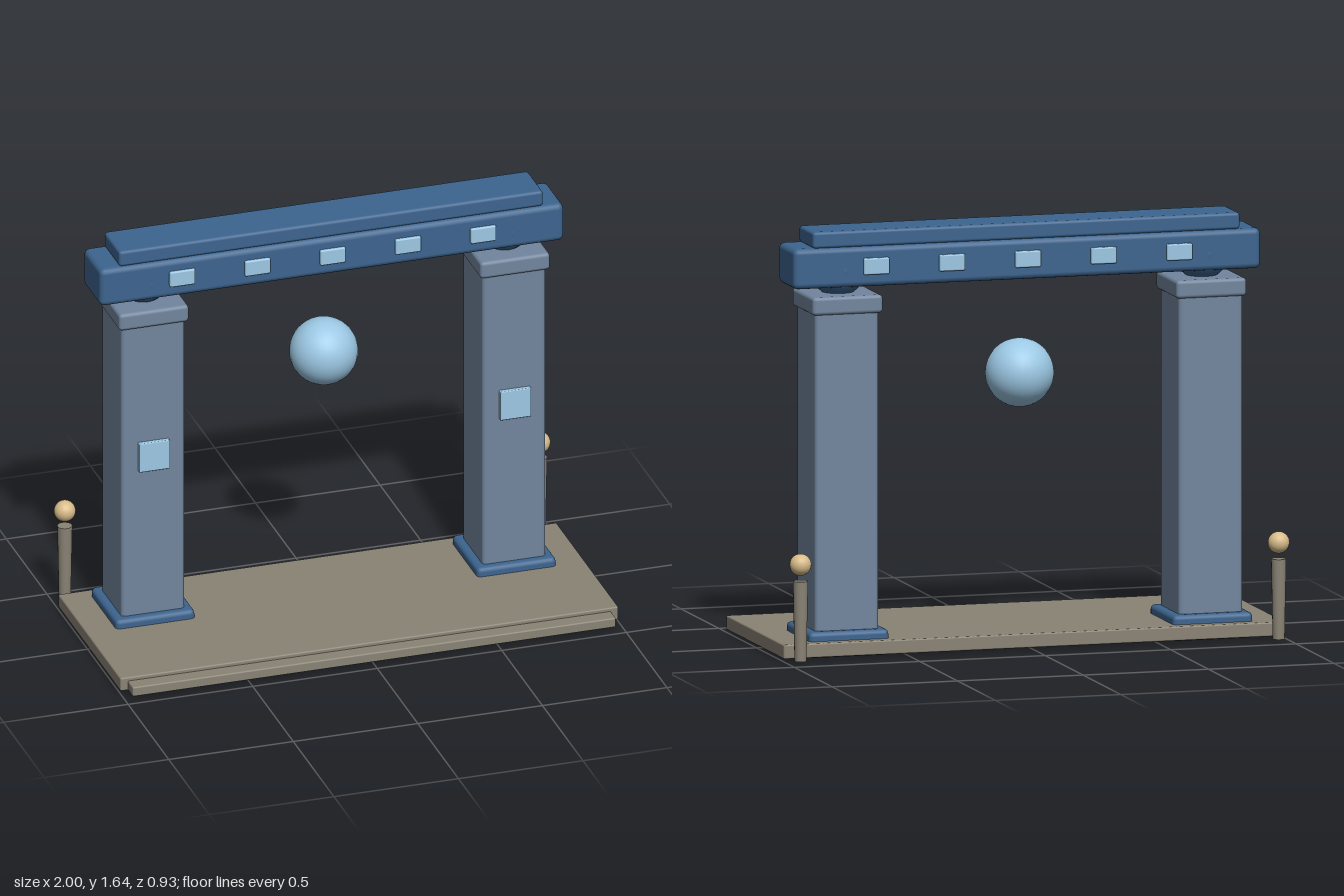
import * as THREE from 'three';
import { RoundedBoxGeometry } from 'three/addons/geometries/RoundedBoxGeometry.js';

const mat = (color) => new THREE.MeshStandardMaterial({ color });

export function createModel() {
  const group = new THREE.Group();
  const stone = mat(0x8a8375), slate = mat(0x72869e), blue = mat(0x3d658f);
  const glow = mat(0x9cc8e4), gold = mat(0xd8bc8a);
  const gateZ = -0.16;

  const add = (name, geometry, material, x, y, z) => {
    const mesh = new THREE.Mesh(geometry, material);
    mesh.name = name;
    mesh.position.set(x, y, z);
    group.add(mesh);
    return mesh;
  };
  // Soft-edged box given by its centre x and z and its bottom and top heights
  const block = (name, material, x, z, w, d, y0, y1, r) =>
    add(name, new RoundedBoxGeometry(w, y1 - y0, d, 2, r), material, x, (y0 + y1) / 2, z);

  // Floor slab with a lower front step
  block('platform', stone, 0, 0.022, 2, 0.766, 0.01, 0.065, 0.006);
  block('frontStep', stone, 0, 0.425, 1.94, 0.08, 0.01, 0.05, 0.006);

  for (const [side, s] of [['left', 1], ['right', -1]]) {
    // Pillar with foot, cap, plaque and ball bearing under the beam
    const x = 0.725 * s;
    block(side + 'PillarFoot', blue, x, gateZ, 0.318, 0.318, 0, 0.1, 0.018);
    block(side + 'Pillar', slate, x, gateZ, 0.254, 0.254, 0.06, 1.34, 0.016);
    block(side + 'PillarCap', slate, x, gateZ, 0.28, 0.28, 1.32, 1.39, 0.014);
    block(side + 'Plaque', glow, x, -0.028, 0.124, 0.026, 0.71, 0.832, 0.004);
    add(side + 'BeamBearing', new THREE.SphereGeometry(0.109, 24, 16), blue, x, 1.48, gateZ);

    // Tapered lamp post with a ball hovering above it
    add(side + 'LampPost', new THREE.CylinderGeometry(0.029, 0.023, 0.31, 16), stone, 0.953 * s, 0.165, -0.425);
    add(side + 'LampBall', new THREE.SphereGeometry(0.042, 20, 14), gold, 0.953 * s, 0.383, -0.425);
  }

  // Beam and its top rail
  block('beam', blue, 0, gateZ, 1.862, 0.215, 1.418, 1.574, 0.022);
  block('topRail', blue, 0, gateZ, 1.702, 0.19, 1.572, 1.636, 0.012);

  // Lights along both faces of the beam
  for (let i = -2; i <= 2; i++) {
    for (const f of [1, -1]) {
      block(f > 0 ? 'frontLight' : 'backLight', glow, 0.302 * i, gateZ + 0.108 * f, 0.102, 0.024, 1.466, 1.53, 0.006);
    }
  }

  // Floating orb in the opening
  add('orb', new THREE.SphereGeometry(0.132, 32, 24), glow, 0, 1.044, gateZ);

  return group;
}
